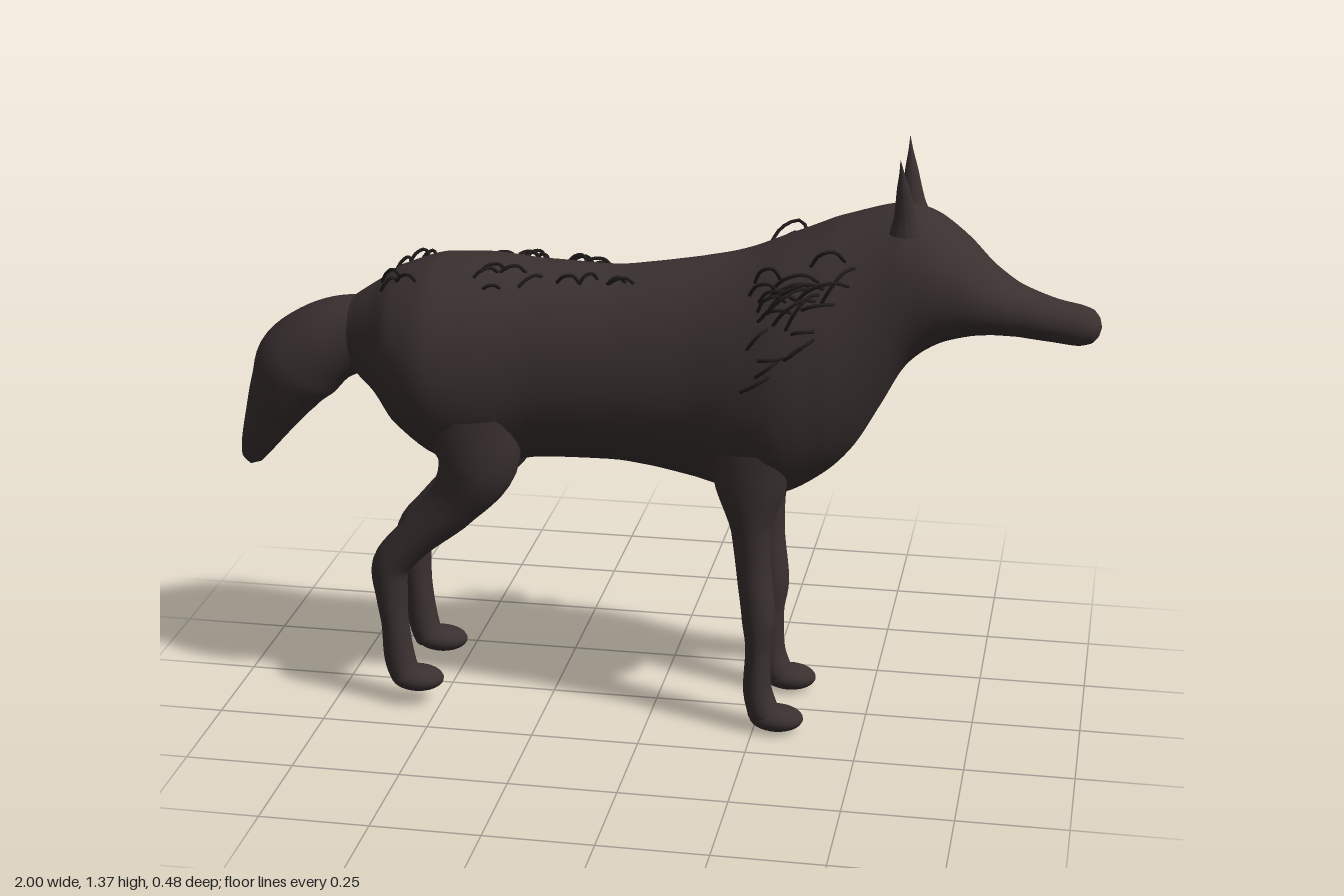
import * as THREE from 'three';
import { mergeGeometries } from 'three/addons/utils/BufferGeometryUtils.js';

const fur = new THREE.MeshStandardMaterial({ color: 0x3a3030 });
fur.name = 'dark brown fur';
const hair = new THREE.MeshStandardMaterial({ color: 0x221d1d });
hair.name = 'blackish hair';

// Body cross-sections: x, top y, bottom y, half width
const BODY = [
  [-0.78, 0.92, 0.86, 0.03], [-0.71, 0.97, 0.79, 0.075], [-0.65, 1.01, 0.735, 0.125],
  [-0.6, 1.045, 0.67, 0.178], [-0.5, 1.08, 0.6, 0.216], [-0.4, 1.087, 0.585, 0.203],
  [-0.27, 1.078, 0.61, 0.18], [-0.1, 1.073, 0.615, 0.177], [0.0, 1.085, 0.605, 0.18],
  [0.1, 1.102, 0.585, 0.186], [0.2, 1.125, 0.56, 0.205], [0.3, 1.165, 0.56, 0.216],
  [0.4, 1.208, 0.62, 0.196], [0.46, 1.228, 0.685, 0.175], [0.52, 1.245, 0.79, 0.157],
  [0.57, 1.25, 0.88, 0.147], [0.63, 1.232, 0.93, 0.136], [0.7, 1.18, 0.955, 0.113],
  [0.76, 1.12, 0.962, 0.084], [0.82, 1.078, 0.96, 0.063], [0.9, 1.048, 0.951, 0.052],
  [0.95, 1.038, 0.946, 0.05], [0.98, 1.028, 0.953, 0.04], [0.995, 1.01, 0.97, 0.022],
  [1.0, 0.991, 0.989, 0.001],
];

// Smooth skin through sections [x, y, in-plane radius, side radius] at depth z
function loft(sections, z = 0, upright = false, sides = 32, steps = 5) {
  const path = new THREE.CatmullRomCurve3(sections.map(s => new THREE.Vector3(s[0], s[1], 0)));
  const radii = new THREE.CatmullRomCurve3(sections.map(s => new THREE.Vector3(s[2], s[3], 0)));
  const n = (sections.length - 1) * steps, pos = [], index = [];
  for (let i = 0; i <= n; i++) {
    const c = path.getPoint(i / n), r = radii.getPoint(i / n);
    const t = upright ? new THREE.Vector3(1, 0, 0) : path.getTangent(i / n);
    for (let j = 0; j < sides; j++) {
      const a = j / sides * Math.PI * 2, u = Math.cos(a) * r.x;
      pos.push(c.x - t.y * u, c.y + t.x * u, z + Math.sin(a) * r.y);
      if (i === n) continue;
      const k = i * sides, j2 = (j + 1) % sides;
      index.push(k + j, k + j2, k + sides + j, k + j2, k + sides + j2, k + sides + j);
    }
  }
  const g = new THREE.BufferGeometry();
  g.setAttribute('position', new THREE.Float32BufferAttribute(pos, 3));
  g.setIndex(index);
  g.computeVertexNormals();
  return g;
}

// Point on the body at x, angle a from the spine, raised by lift
function onBody(x, a, lift) {
  let i = 0;
  while (i < BODY.length - 2 && BODY[i + 1][0] < x) i++;
  const p = BODY[i], q = BODY[i + 1], f = (x - p[0]) / (q[0] - p[0]);
  const [top, low, w] = [1, 2, 3].map(k => p[k] + (q[k] - p[k]) * f);
  return new THREE.Vector3(x, (top + low) / 2 + Math.cos(a) * ((top - low) / 2 + lift),
    Math.sin(a) * (w + lift));
}

// Curled hair strands scattered over patches of the coat
function strands(side) {
  let seed = side > 0 ? 17 : 91;
  const rnd = () => (seed = (seed * 16807) % 2147483647) / 2147483647;
  // x from, x to, angle from, angle to, count, length, lift
  const patches = [
    [0.3, 0.47, 0.65, 1.0, 14, 0.1, 0.055],
    [0.27, 0.43, 1.0, 1.45, 9, 0.06, 0.02],
    [-0.36, -0.02, 0.3, 0.62, 9, 0.06, 0.02],
    [-0.6, -0.53, 0.3, 0.6, 3, 0.05, 0.02],
  ];
  const list = [];
  for (let k = 0; k < 10; k++) rnd();
  for (const [x0, x1, a0, a1, count, len, lift] of patches) {
    for (let i = 0; i < count; i++) {
      const x = x0 + (x1 - x0) * rnd(), a = a0 + (a1 - a0) * rnd();
      const l = len * (0.6 + 0.6 * rnd()), h = lift * (0.5 + 0.7 * rnd()), turn = (rnd() - 0.3) * 0.3;
      const pts = [[0, -0.005], [0.3, h], [0.7, h * 0.9], [1, h * 0.1]]
        .map(([s, up]) => onBody(x - l * s, side * (a + turn * s), up));
      list.push(new THREE.TubeGeometry(new THREE.CatmullRomCurve3(pts), 10, 0.0042, 5));
    }
  }
  return mergeGeometries(list);
}

// Tapered ear leaning outwards to a thin tip
function ear(side) {
  const profile = [[0.04, 0], [0.027, 0.035], [0.02, 0.07], [0.014, 0.105], [0.006, 0.14], [0.0005, 0.172]];
  const g = new THREE.LatheGeometry(
    new THREE.SplineCurve(profile.map(p => new THREE.Vector2(...p))).getPoints(20), 20);
  const p = g.attributes.position;
  for (let i = 0; i < p.count; i++) {
    const t = p.getY(i) / 0.172;
    p.setXYZ(i, p.getX(i) + 0.57 - 0.016 * t, p.getY(i) + 1.204,
      p.getZ(i) * 0.85 + side * (0.08 + 0.022 * t + 0.008 * t ** 4));
  }
  g.computeVertexNormals();
  return g;
}

const FRONT_LEG = [
  [0.235, 0.7, 0.1, 0.07], [0.237, 0.6, 0.08, 0.064], [0.24, 0.5, 0.047, 0.052],
  [0.246, 0.4, 0.04, 0.045], [0.259, 0.28, 0.039, 0.047], [0.258, 0.2, 0.029, 0.042],
  [0.258, 0.1, 0.033, 0.041], [0.272, 0.045, 0.036, 0.042], [0.275, 0.02, 0.005, 0.005],
];
const HIND_LEG = [
  [-0.41, 0.74, 0.12, 0.08], [-0.4, 0.62, 0.095, 0.083], [-0.455, 0.52, 0.064, 0.062],
  [-0.555, 0.42, 0.048, 0.05], [-0.612, 0.35, 0.045, 0.046], [-0.613, 0.27, 0.037, 0.041],
  [-0.607, 0.2, 0.032, 0.039], [-0.598, 0.11, 0.036, 0.039], [-0.585, 0.07, 0.034, 0.04],
  [-0.575, 0.05, 0.005, 0.005],
];
const TAIL = [
  [-0.62, 0.885, 0.08, 0.06], [-0.71, 0.878, 0.092, 0.074], [-0.78, 0.853, 0.098, 0.092],
  [-0.845, 0.8, 0.105, 0.1], [-0.89, 0.73, 0.083, 0.085], [-0.93, 0.655, 0.059, 0.06],
  [-0.962, 0.59, 0.039, 0.038], [-0.976, 0.555, 0.025, 0.024], [-0.981, 0.538, 0.002, 0.002],
];

export function createModel() {
  const model = new THREE.Group();
  model.name = 'canine';
  const add = (name, geometry, material = fur) => {
    const m = new THREE.Mesh(geometry, material);
    m.name = name;
    model.add(m);
    return m;
  };

  // Trunk, neck and head in one skin
  add('body', loft(BODY.map(([x, top, low, w]) => [x, (top + low) / 2, (top - low) / 2, w]), 0, true, 40));
  add('tail', loft(TAIL));

  for (const side of [1, -1]) {
    const s = side > 0 ? 'Near' : 'Far';
    add('frontLeg' + s, loft(FRONT_LEG, side * 0.115, false, 24));
    add('hindLeg' + s, loft(HIND_LEG, side * 0.112, false, 24));
    // Flattened paws
    for (const [name, x, y] of [['frontPaw', 0.303, 0.034], ['hindPaw', -0.555, 0.067]]) {
      const paw = add(name + s, new THREE.SphereGeometry(1, 24, 16));
      paw.scale.set(0.063, 0.03, 0.046);
      paw.position.set(x, y, side * 0.117);
    }
    add('ear' + s, ear(side));
    add('hairStrands' + s, strands(side), hair);
  }
  return model;
}
